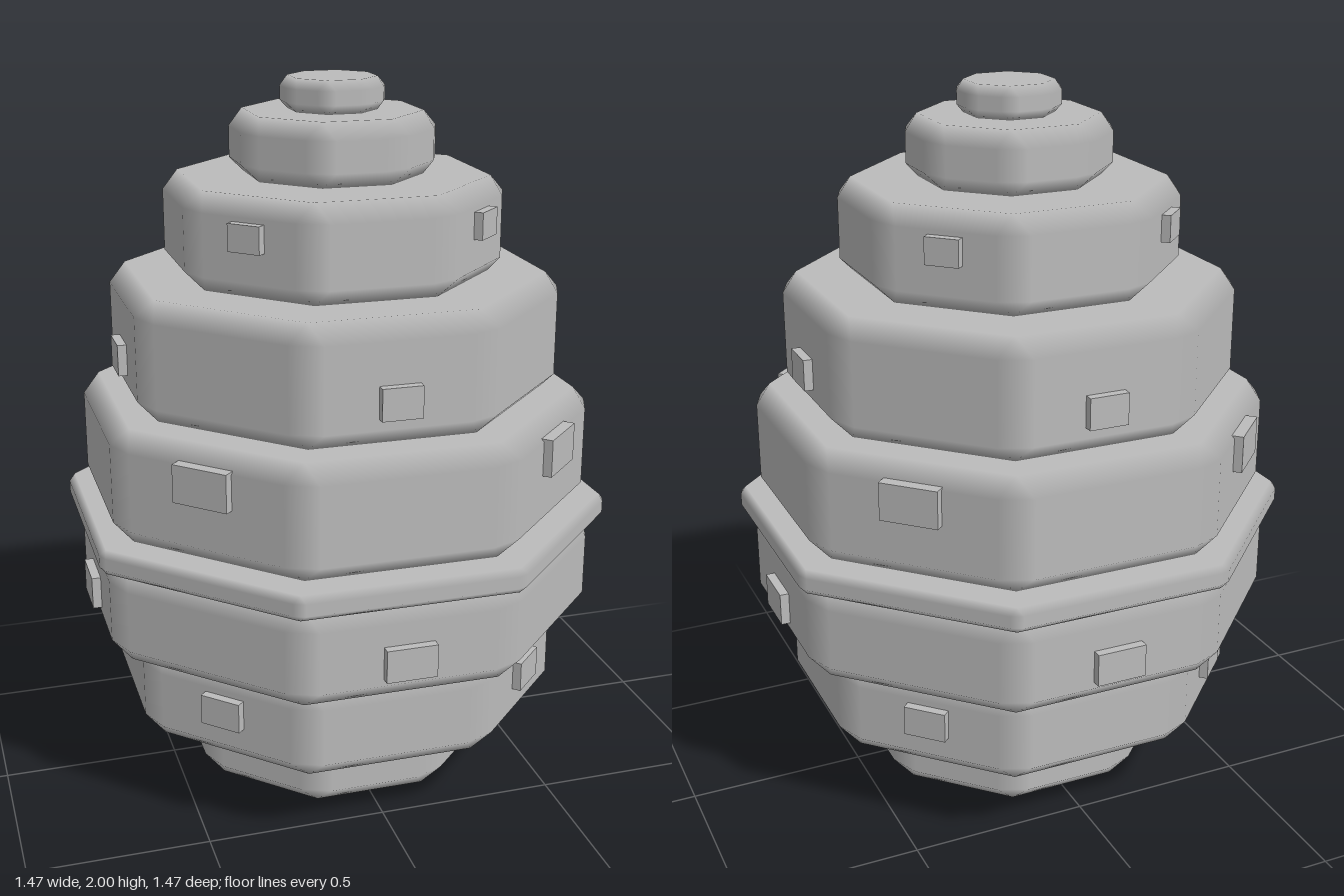
import * as THREE from 'three';

// Octagonal slab with every edge chamfered by b. Flat faces keep their own
// normals, so shading blends smoothly across the chamfers.
function chamferedOctagon(a, y0, y1, b) {
  const pos = [], nor = [], idx = [];
  const half = a * Math.tan(Math.PI / 8) - b;
  const capR = (a - b) / Math.cos(Math.PI / 8);
  const add = (x, y, z, nx, ny, nz) => { pos.push(x, y, z); nor.push(nx, ny, nz); };
  for (let k = 0; k < 8; k++) {
    const t = k * Math.PI / 4, s = Math.sin(t), c = Math.cos(t);
    // side face corners: 0 bottom left, 1 bottom right, 2 top right, 3 top left
    for (const [u, y] of [[-half, y0 + b], [half, y0 + b], [half, y1 - b], [-half, y1 - b]]) {
      add(s * a + c * u, y, c * a - s * u, s, 0, c);
    }
    // cap corners: 4 top, 5 bottom
    const x = capR * Math.sin(t + Math.PI / 8), z = capR * Math.cos(t + Math.PI / 8);
    add(x, y1, z, 0, 1, 0);
    add(x, y0, z, 0, -1, 0);
  }
  add(0, y1, 0, 0, 1, 0);
  add(0, y0, 0, 0, -1, 0);
  for (let k = 0; k < 8; k++) {
    const f = k * 6, n = ((k + 1) % 8) * 6, p = ((k + 7) % 8) * 6;
    idx.push(f, f + 1, f + 2, f, f + 2, f + 3);                 // side face
    idx.push(f + 1, n, n + 3, f + 1, n + 3, f + 2);             // upright chamfer
    idx.push(f + 3, f + 2, f + 4, f + 3, f + 4, p + 4);         // top chamfer
    idx.push(f + 1, f, p + 5, f + 1, p + 5, f + 5);             // bottom chamfer
    idx.push(f + 2, n + 3, f + 4, n, f + 1, f + 5);             // corner triangles
    idx.push(48, p + 4, f + 4, 49, f + 5, p + 5);               // caps
  }
  const g = new THREE.BufferGeometry();
  g.setAttribute('position', new THREE.Float32BufferAttribute(pos, 3));
  g.setAttribute('normal', new THREE.Float32BufferAttribute(nor, 3));
  g.setIndex(idx);
  return g;
}

export function createModel() {
  const model = new THREE.Group();
  model.name = 'tieredEgg';
  const grey = new THREE.MeshStandardMaterial({ color: 0xbcbcbc });
  grey.name = 'grey';

  // Stacked tiers: name, distance to side, bottom, top, chamfer
  const tiers = [
    ['baseTier', 0.43, 0, 0.205, 0.05],
    ['lowerTier', 0.615, 0.205, 0.47, 0.05],
    ['bellyTier', 0.705, 0.47, 0.745, 0.05],
    ['waistBand', 0.735, 0.745, 0.815, 0.018],
    ['chestTier', 0.685, 0.815, 1.137, 0.05],
    ['shoulderTier', 0.6, 1.137, 1.47, 0.05],
    ['upperTier', 0.45, 1.47, 1.737, 0.048],
    ['crownTier', 0.275, 1.737, 1.91, 0.044],
    ['topKnob', 0.14, 1.91, 2, 0.026],
  ];
  for (const [name, a, y0, y1, b] of tiers) {
    const mesh = new THREE.Mesh(chamferedOctagon(a, y0, y1, b), grey);
    mesh.name = name;
    model.add(mesh);
  }

  // Small blocks on every other side: tier, side distance, width, bottom, top, first angle
  const blocks = [
    ['lowerBlock', 0.615, 0.12, 0.32, 0.405, Math.PI / 4],
    ['bellyBlock', 0.705, 0.14, 0.54, 0.632, 0],
    ['chestBlock', 0.685, 0.163, 0.99, 1.095, Math.PI / 4],
    ['shoulderBlock', 0.6, 0.11, 1.218, 1.305, 0],
    ['upperBlock', 0.45, 0.095, 1.603, 1.677, Math.PI / 4],
  ];
  const out = 0.025, sunk = 0.02;
  for (const [name, a, w, y0, y1, start] of blocks) {
    const geo = new THREE.BoxGeometry(w, y1 - y0, out + sunk);
    geo.translate(0, (y0 + y1) / 2, a + (out - sunk) / 2);
    for (let i = 0; i < 4; i++) {
      const mesh = new THREE.Mesh(geo, grey);
      mesh.name = name + (i + 1);
      mesh.rotation.y = start + i * Math.PI / 2;
      model.add(mesh);
    }
  }
  return model;
}
